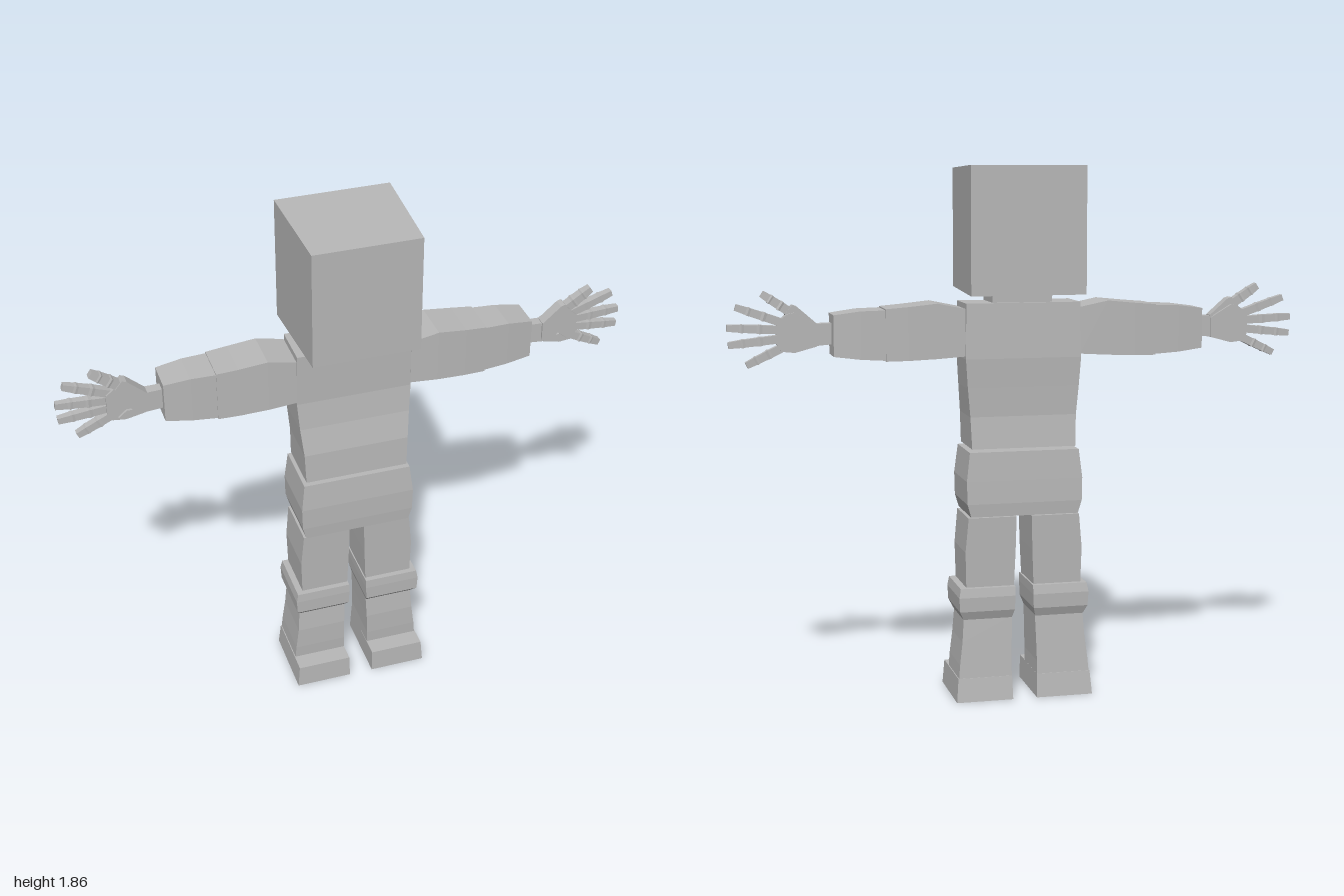
import * as THREE from 'three';

// Box-like loft: each row is [t, a0, a1, b0, b1].
// Along y: t=y, a=x, b=z. Along x: t=x, a=z, b=y.
function loft(rows, axis = 'y') {
  const pos = [];
  const rings = rows.map(([t, a0, a1, b0, b1]) =>
    [[a0, b1], [a1, b1], [a1, b0], [a0, b0]].map(([a, b]) => (axis === 'y' ? [a, t, b] : [t, b, a])));
  const quad = (p, q, r, s) => [p, q, r, p, r, s].forEach((v) => pos.push(...v));
  for (let i = 0; i + 1 < rings.length; i++) {
    for (let k = 0; k < 4; k++) {
      const n = (k + 1) % 4;
      quad(rings[i][k], rings[i][n], rings[i + 1][n], rings[i + 1][k]);
    }
  }
  const lo = rings[0], hi = rings[rings.length - 1];
  quad(lo[3], lo[2], lo[1], lo[0]);
  quad(hi[0], hi[1], hi[2], hi[3]);
  const g = new THREE.BufferGeometry();
  g.setAttribute('position', new THREE.Float32BufferAttribute(pos, 3));
  g.computeVertexNormals();
  return g;
}

// Copy reflected in x, with corner order reversed
function mirror(src) {
  const g = src.index ? src.toNonIndexed() : src.clone();
  const p = g.attributes.position;
  const v = [0, 1, 2].map(() => new THREE.Vector3());
  for (let i = 0; i < p.count; i += 3) {
    v.forEach((u, k) => u.fromBufferAttribute(p, i + k));
    [v[0], v[2], v[1]].forEach((u, k) => p.setXYZ(i + k, -u.x, u.y, u.z));
  }
  g.computeVertexNormals();
  return g;
}

// Jointed finger from base to tip
function finger(x0, y0, x1, y1, z, w) {
  const L = Math.hypot(x1 - x0, y1 - y0);
  const row = (f, s) => [f * L, -w * s, w * s, -w * s, w * s];
  const g = loft([row(-0.1, 0.95), row(0.3, 0.95), row(0.36, 1.08), row(0.42, 0.95),
    row(0.66, 0.9), row(0.71, 1), row(0.76, 0.88), row(1, 0.75)], 'x');
  g.rotateZ(Math.atan2(y1 - y0, x1 - x0));
  g.translate(x0, y0, z);
  return g;
}

// Flat plate from an outline in x, y
function plate(points, z0, z1) {
  const s = new THREE.Shape(points.map(([x, y]) => new THREE.Vector2(x, y)));
  const g = new THREE.ExtrudeGeometry(s, { depth: z1 - z0, bevelEnabled: false });
  g.translate(0, 0, z0);
  return g;
}

export function createModel() {
  const model = new THREE.Group();
  model.name = 'blockFigure';
  const grey = new THREE.MeshStandardMaterial({ color: 0xb8b8b8, flatShading: true });
  grey.name = 'grey';
  const add = (name, g) => {
    const m = new THREE.Mesh(g, grey);
    m.name = name;
    model.add(m);
  };
  const pair = (name, g) => {
    add(name + 'Left', g);
    add(name + 'Right', mirror(g));
  };

  // Head: slightly narrower at the face, top sloping up to the back
  const head = loft([[1.42, -0.2, 0.2, -0.188, 0.183], [1.855, -0.2, 0.2, -0.188, 0.185]]);
  const hp = head.attributes.position;
  for (let i = 0; i < hp.count; i++) {
    if (hp.getZ(i) > 0) {
      hp.setX(i, hp.getX(i) * 0.93);
      hp.setY(i, hp.getY(i) > 1.6 ? 1.845 : 1.43);
    }
  }
  head.computeVertexNormals();
  add('head', head);
  add('neck', loft([[1.36, -0.105, 0.105, -0.09, 0.045], [1.43, -0.105, 0.105, -0.09, 0.065]]));

  // Body
  add('torso', loft([
    [0.89, -0.183, 0.183, -0.115, 0.077], [1.0, -0.187, 0.187, -0.105, 0.073],
    [1.1, -0.196, 0.196, -0.108, 0.055], [1.2, -0.203, 0.203, -0.112, 0.046],
    [1.39, -0.2, 0.2, -0.108, 0.05]]));
  add('hips', loft([
    [0.655, -0.19, 0.19, -0.127, 0.088], [0.7, -0.203, 0.203, -0.13, 0.091],
    [0.78, -0.205, 0.205, -0.128, 0.091], [0.88, -0.193, 0.193, -0.123, 0.084]]));

  // Legs
  pair('thigh', loft([
    [0.405, 0.035, 0.205, -0.11, 0.074], [0.53, 0.03, 0.208, -0.114, 0.077],
    [0.65, 0.027, 0.197, -0.117, 0.079]]));
  pair('bootCuff', loft([
    [0.29, 0.042, 0.215, -0.108, 0.062], [0.32, 0.034, 0.229, -0.12, 0.091],
    [0.37, 0.032, 0.232, -0.122, 0.092], [0.402, 0.032, 0.226, -0.117, 0.09]]));
  pair('shin', loft([
    [0.06, 0.045, 0.236, -0.122, 0.063], [0.13, 0.046, 0.23, -0.118, 0.066],
    [0.21, 0.044, 0.22, -0.113, 0.066], [0.295, 0.041, 0.214, -0.107, 0.06]]));
  pair('foot', loft([
    [0, 0.043, 0.244, -0.133, 0.132], [0.083, 0.045, 0.237, -0.123, 0.13]]));

  // Arms
  pair('upperArm', loft([
    [0.202, -0.105, 0.048, 1.21, 1.372], [0.3, -0.107, 0.05, 1.204, 1.392],
    [0.4, -0.106, 0.048, 1.2, 1.382], [0.475, -0.102, 0.044, 1.199, 1.376]], 'x'));
  pair('forearm', loft([
    [0.475, -0.1, 0.041, 1.202, 1.372], [0.56, -0.096, 0.036, 1.207, 1.37],
    [0.65, -0.088, 0.028, 1.218, 1.358]], 'x'));

  // Hands
  pair('wrist', loft([
    [0.63, -0.035, 0.002, 1.257, 1.328], [0.72, -0.037, 0.003, 1.25, 1.325]], 'x'));
  pair('palm', plate([[0.7, 1.25], [0.775, 1.23], [0.82, 1.235], [0.835, 1.26],
    [0.835, 1.33], [0.8, 1.36], [0.775, 1.365], [0.7, 1.32]], -0.042, -0.006));
  pair('thumbBase', plate([[0.7, 1.262], [0.75, 1.27], [0.79, 1.32], [0.805, 1.36],
    [0.78, 1.39], [0.765, 1.385], [0.7, 1.328]], -0.03, 0.01));
  pair('palmPad', plate([[0.71, 1.25], [0.775, 1.236], [0.8, 1.245],
    [0.77, 1.27], [0.71, 1.262]], -0.02, 0.003));
  pair('thumb', finger(0.785, 1.365, 0.88, 1.428, -0.01, 0.016));
  [[0.825, 1.335, 0.97, 1.386], [0.83, 1.308, 1, 1.317],
    [0.83, 1.277, 0.996, 1.259], [0.818, 1.247, 0.937, 1.19]]
    .forEach((f, i) => pair('finger' + (i + 1), finger(...f, -0.028, 0.0145)));

  return model;
}
